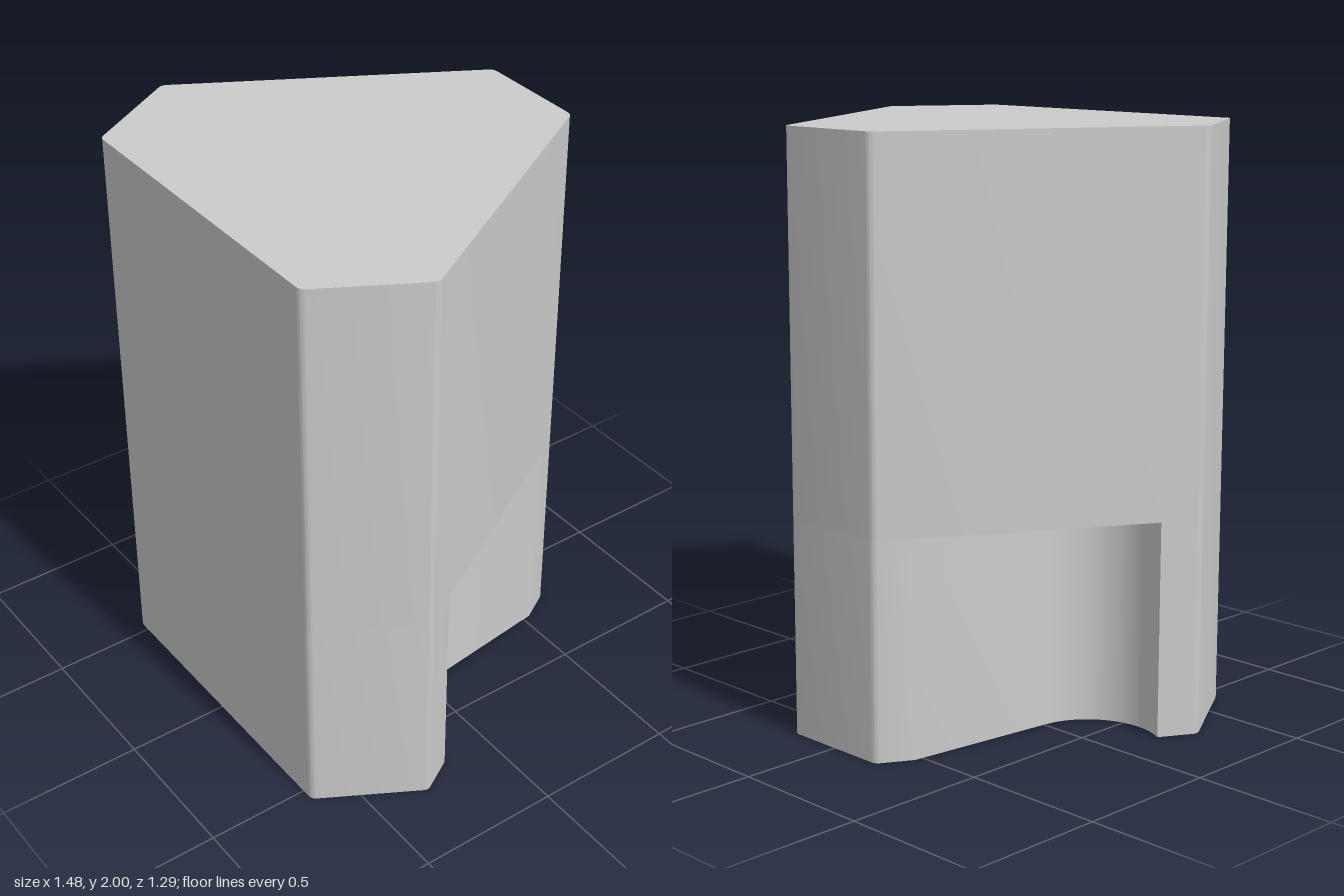
import * as THREE from 'three';
import { toCreasedNormals } from 'three/addons/utils/BufferGeometryUtils.js';

const HEIGHT = 2;
const POCKET_TOP = 0.73;
const ROUNDING = 0.018;
const V = (x, z) => new THREE.Vector2(x, z);

// Corners of the +x half of the plan, as (x, z), front to back
const FRONT = V(0.546, 0.643);
const TIP = V(0.742, 0.303);
const BACK = V(0.196, -0.643);

// A small rounded corner between two straight sides
function corner(prev, at, next) {
  const a = at.clone().add(prev.clone().sub(at).setLength(ROUNDING));
  const b = at.clone().add(next.clone().sub(at).setLength(ROUNDING));
  return new THREE.QuadraticBezierCurve(a, at, b).getPoints(6);
}

// Pocket edge: an arc centred on the slanted side, then its tangent back to that side
function pocket() {
  const radius = 0.23, reach = 0.59, centreZ = -0.019;
  const centre = TIP.clone().lerp(BACK, (TIP.y - centreZ) / (TIP.y - BACK.y));
  const along = TIP.clone().sub(BACK).angle();
  const end = along + Math.PI - Math.acos(radius / reach);
  const polar = (r, a) => V(centre.x + r * Math.cos(a), centre.y + r * Math.sin(a));
  const points = [];
  for (let i = 0; i <= 32; i++) points.push(polar(radius, along + (end - along) * i / 32));
  points.push(polar(reach, along + Math.PI));
  return points;
}

// Whole plan: one half and its mirror image
function plan(withPockets) {
  const mirror = p => V(-p.x, p.y);
  const half = [
    ...corner(mirror(FRONT), FRONT, TIP),
    ...corner(FRONT, TIP, BACK),
    ...(withPockets ? pocket() : []),
    ...corner(TIP, BACK, mirror(BACK)),
  ];
  return new THREE.Shape([...half, ...half.map(mirror).reverse()]);
}

function prism(name, shape, bottom, top, material) {
  const geometry = new THREE.ExtrudeGeometry(shape, { depth: top - bottom, bevelEnabled: false });
  geometry.rotateX(Math.PI / 2).translate(0, top, 0);
  const mesh = new THREE.Mesh(toCreasedNormals(geometry, 0.5), material);
  mesh.name = name;
  return mesh;
}

export function createModel() {
  const material = new THREE.MeshStandardMaterial({ color: 0xcccccc });
  const group = new THREE.Group();
  group.name = 'pocketedBlock';
  group.add(
    prism('lowerBodyWithPockets', plan(true), 0, POCKET_TOP, material),
    prism('upperBody', plan(false), POCKET_TOP, HEIGHT, material),
  );
  return group;
}
